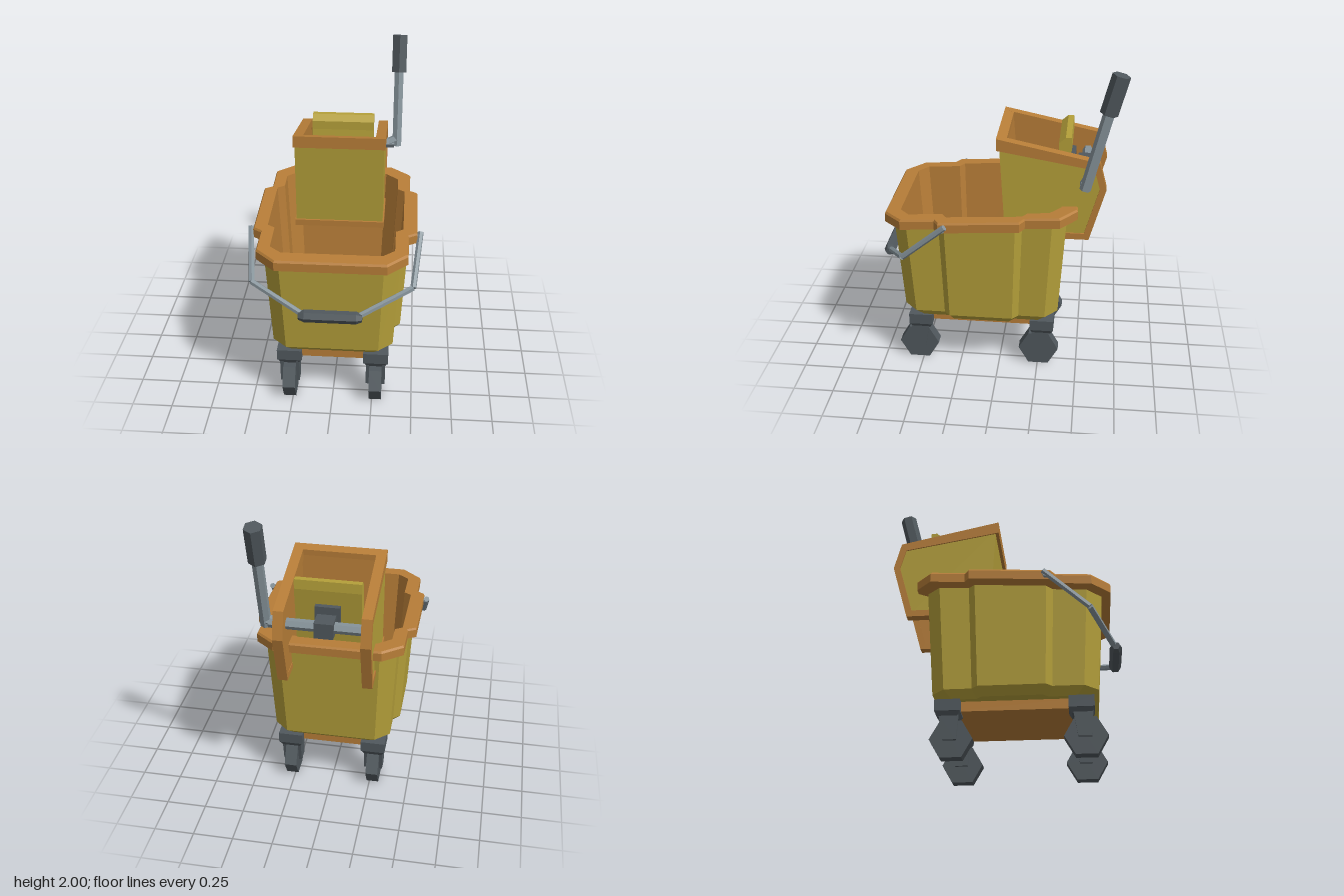
import * as THREE from 'three';

const mat = (name, color) => {
  const m = new THREE.MeshStandardMaterial({ color, flatShading: true });
  m.name = name;
  return m;
};

export function createModel() {
  const yellow = mat('mustard yellow', 0xb5a03a);
  const brown = mat('orange brown', 0xb87e38);
  const dark = mat('dark grey', 0x50585d);
  const steel = mat('light grey', 0x86939a);
  const model = new THREE.Group();
  model.name = 'mopBucket';

  const add = (name, geo, material, parent = model) => {
    const mesh = new THREE.Mesh(geo, material);
    mesh.name = name;
    parent.add(mesh);
    return mesh;
  };
  const group = (name, parent = model) => {
    const g = new THREE.Group();
    g.name = name;
    parent.add(g);
    return g;
  };
  // side profile of [z, y] points, extruded from x0 to x1
  const slab = (name, pts, x0, x1, material, parent) => {
    const shape = new THREE.Shape(pts.map(([z, y]) => new THREE.Vector2(z, y)));
    const geo = new THREE.ExtrudeGeometry(shape, { depth: x1 - x0, bevelEnabled: false });
    geo.rotateY(-Math.PI / 2).translate(x1, 0, 0);
    return add(name, geo, material, parent);
  };
  const box = (name, size, pos, material, parent) =>
    add(name, new THREE.BoxGeometry(...size).translate(...pos), material, parent);
  // straight faceted rod between two points
  const bar = (name, a, b, r, sides, material, parent) => {
    const p = new THREE.Vector3(...a), q = new THREE.Vector3(...b);
    const d = q.clone().sub(p);
    const mesh = add(name, new THREE.CylinderGeometry(r, r, d.length(), sides), material, parent);
    mesh.position.copy(p).add(q).multiplyScalar(0.5);
    mesh.quaternion.setFromUnitVectors(new THREE.Vector3(0, 1, 0), d.normalize());
    return mesh;
  };
  // skin over a list of closed rings
  const loft = (name, rings, material) => {
    const pos = [];
    for (let i = 0; i < rings.length - 1; i++) {
      const a = rings[i], b = rings[i + 1], n = a.length;
      for (let j = 0; j < n; j++) {
        const k = (j + 1) % n;
        pos.push(...a[j], ...a[k], ...b[k], ...a[j], ...b[k], ...b[j]);
      }
    }
    const geo = new THREE.BufferGeometry();
    geo.setAttribute('position', new THREE.Float32BufferAttribute(pos, 3));
    geo.computeVertexNormals();
    return add(name, geo, material);
  };

  // bucket outlines: right half [x, z] from front to back, then mirrored
  const full = (half) => [...half, ...half.map(([x, z]) => [-x, z]).reverse()];
  const rimOuter = full([[0.33, 0.705], [0.45, 0.59], [0.45, 0.38], [0.5, 0.35],
    [0.5, -0.14], [0.45, -0.17], [0.45, -0.38], [0.33, -0.48]]);
  const rimInner = full([[0.3, 0.61], [0.37, 0.55], [0.37, 0.34], [0.415, 0.31],
    [0.415, -0.15], [0.37, -0.18], [0.37, -0.31], [0.29, -0.38]]);
  const wall = full([[0.31, 0.65], [0.405, 0.56], [0.405, 0.36], [0.45, 0.32],
    [0.45, -0.11], [0.405, -0.15], [0.405, -0.33], [0.31, -0.415]]);
  const midZ = 0.12;
  const ring = (outline, scale, y) => outline.map(([x, z]) => {
    const rz = midZ + (z - midZ) * scale;
    return [x * scale, typeof y === 'function' ? y(rz) : y, rz];
  });
  const rimY = (drop) => (z) => 1.06 + (0.7 - z) * 0.06 - drop;

  loft('bucketBody', [ring(wall, 0, 0.34), ring(wall, 0.82, 0.34),
    ring(wall, 0.92, 0.39), ring(wall, 1, rimY(0.075))], yellow);
  loft('bucketRimAndLining', [ring(wall, 0.99, rimY(0.085)), ring(rimOuter, 1, rimY(0.065)),
    ring(rimOuter, 1, rimY(0.012)), ring(rimOuter, 0.985, rimY(0)), ring(rimInner, 1, rimY(0)),
    ring(rimInner, 0.91, 0.4), ring(rimInner, 0, 0.4)], brown);
  box('basePlate', [0.58, 0.065, 0.84], [0, 0.3125, 0.12], brown);

  // casters
  for (const x of [-0.27, 0.27]) {
    for (const z of [0.505, -0.275]) {
      const c = group('caster');
      c.position.set(x, 0, z);
      box('casterPlate', [0.155, 0.07, 0.15], [0, 0.305, 0], dark, c);
      add('casterNeck', new THREE.CylinderGeometry(0.106, 0.08, 0.035, 4).rotateY(Math.PI / 4)
        .translate(0, 0.255, 0), dark, c);
      for (const s of [-1, 1]) {
        slab('casterFork', [[-0.05, 0.25], [-0.025, 0.1], [0.055, 0.1], [0.065, 0.25]],
          s * 0.05 - 0.01, s * 0.05 + 0.01, dark, c);
      }
      add('wheel', new THREE.CylinderGeometry(0.127, 0.127, 0.078, 6).rotateZ(Math.PI / 2)
        .translate(0, 0.11, 0.02), dark, c);
    }
  }

  // carrying handle
  const bail = group('carryHandle');
  for (const s of [-1, 1]) {
    const top = [s * 0.52, 1.065, 0.305], bend = [s * 0.485, 0.835, 0.575], end = [s * 0.15, 0.705, 0.725];
    bar('handlePivot', [s * 0.47, 1.045, 0.32], [s * 0.525, 1.045, 0.32], 0.018, 6, steel, bail);
    bar('handleRod', top, bend, 0.019, 6, steel, bail);
    bar('handleRod', bend, end, 0.019, 6, steel, bail);
  }
  const gripProfile = [[0, -0.19], [0.024, -0.19], [0.038, -0.155], [0.038, 0.155], [0.024, 0.19], [0, 0.19]];
  const grip = add('handleGrip', new THREE.LatheGeometry(
    gripProfile.map(([r, y]) => new THREE.Vector2(r, y)), 6), dark, bail);
  grip.rotation.z = Math.PI / 2;
  grip.position.set(0, 0.705, 0.725);

  // wringer hopper: lined side panels with a raised edge band
  const wringer = group('wringer');
  const panel = [[0, 1.5], [-0.59, 1.39], [-0.62, 1.25], [-0.53, 0.93], [-0.035, 0.93]];
  const band = [[0.02, 1.55], [-0.6, 1.42], [-0.645, 1.25], [-0.55, 0.91], [-0.035, 0.91],
    [-0.035, 0.95], [-0.52, 0.95], [-0.605, 1.25], [-0.57, 1.375], [0.02, 1.475]];
  for (const s of [-1, 1]) {
    const side = (name, pts, a, b, m) => slab(name, pts, Math.min(s * a, s * b), Math.max(s * a, s * b), m, wringer);
    side('sideLining', panel, 0.23, 0.271, brown);
    side('sidePanel', panel, 0.271, 0.279, yellow);
    side('sideBand', band, 0.226, 0.288, brown);
  }
  slab('frontPanel', [[0.002, 1.5], [-0.033, 0.93], [-0.041, 0.93], [-0.006, 1.5]], -0.279, 0.279, yellow, wringer);
  slab('frontLining', [[-0.006, 1.5], [-0.041, 0.93], [-0.08, 0.93], [-0.04, 1.5]], -0.232, 0.232, brown, wringer);
  slab('frontRim', [[0.02, 1.55], [0.02, 1.475], [-0.04, 1.465], [-0.04, 1.537]], -0.287, 0.287, brown, wringer);
  slab('frontLowerEdge', [[-0.018, 0.95], [-0.018, 0.91], [-0.06, 0.91], [-0.06, 0.95]], -0.287, 0.287, brown, wringer);
  slab('hopperFloor', [[-0.05, 0.95], [-0.05, 0.92], [-0.38, 0.92], [-0.38, 0.95]], -0.232, 0.232, brown, wringer);

  // press plate and its drive
  slab('pressPlate', [[-0.35, 1.505], [-0.39, 1.54], [-0.425, 1.54], [-0.43, 1.48],
    [-0.37, 0.97], [-0.3, 0.97], [-0.35, 1.45]], -0.2, 0.2, yellow, wringer);
  box('pressBracket', [0.15, 0.13, 0.05], [0, 1.32, -0.425], dark, wringer);
  box('pressLink', [0.08, 0.06, 0.1], [0, 1.3, -0.47], dark, wringer);
  box('shaftCollar', [0.115, 0.1, 0.11], [0, 1.295, -0.52], dark, wringer);
  bar('shaft', [-0.235, 1.295, -0.52], [0.335, 1.295, -0.52], 0.034, 6, steel, wringer);

  // lever
  const lever = group('lever', wringer);
  bar('leverElbow', [0.3, 1.295, -0.52], [0.355, 1.32, -0.528], 0.034, 6, steel, lever);
  bar('leverRod', [0.352, 1.275, -0.517], [0.352, 1.78, -0.642], 0.034, 6, steel, lever);
  bar('leverGrip', [0.352, 1.755, -0.635], [0.352, 1.987, -0.696], 0.054, 6, dark, lever);

  return model;
}
